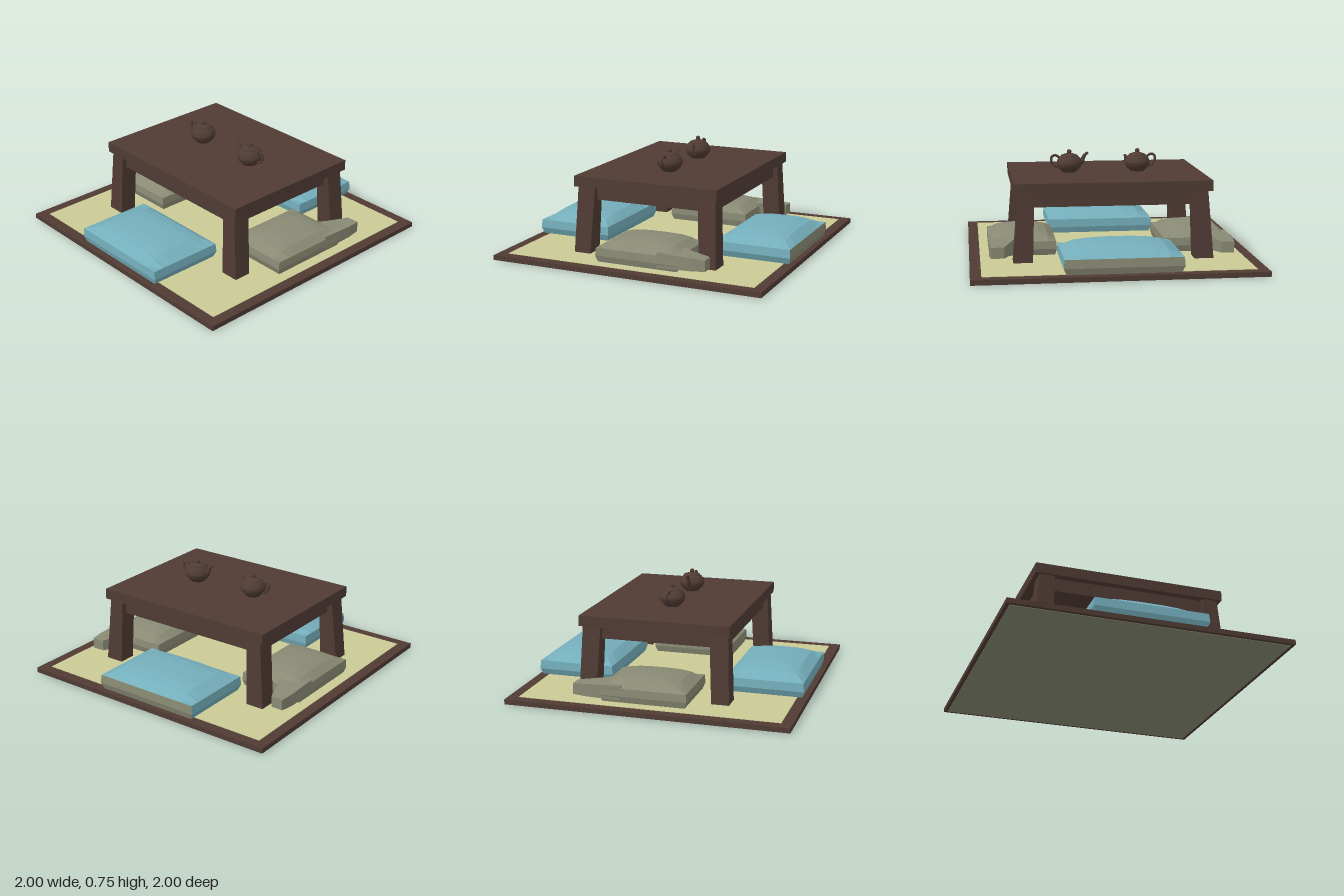
import * as THREE from 'three';

const mat = (name, color, extra = {}) => {
  const m = new THREE.MeshStandardMaterial({ color, ...extra });
  m.name = name;
  return m;
};

export function createModel() {
  const brown = mat('dark wood', 0x503b34);
  const straw = mat('straw', 0xcac995);
  const blue = mat('blue cloth', 0x74aebb, { flatShading: true });
  const sage = mat('sage cloth', 0x898a74, { flatShading: true });

  const root = new THREE.Group();
  root.name = 'teaTableSet';
  const add = (parent, name, geo, material, x = 0, y = 0, z = 0) => {
    const m = new THREE.Mesh(geo, material);
    m.name = name;
    m.position.set(x, y, z);
    parent.add(m);
    return m;
  };
  const box = (w, h, d) => new THREE.BoxGeometry(w, h, d);

  // Floor mat: wooden rim, straw face, cloth backing
  add(root, 'matRim', box(2, 0.035, 2), brown, 0, 0.0205, 0);
  add(root, 'matFace', box(1.85, 0.005, 1.85), straw, 0, 0.0385, 0);
  add(root, 'matBacking', box(1.95, 0.004, 1.95), sage, 0, 0.002, 0);

  // Table: slab, apron boards and four splayed legs
  const table = new THREE.Group();
  table.name = 'table';
  table.position.z = -0.0225;
  root.add(table);
  add(table, 'tableTop', box(1.385, 0.075, 1.075), brown, 0, 0.5525, 0);
  for (const s of [-1, 1]) {
    add(table, 'longApron', box(1.2, 0.1, 0.04), brown, 0, 0.468, s * 0.465);
    add(table, 'shortApron', box(0.04, 0.1, 0.9), brown, s * 0.6, 0.468, 0);
    for (const t of [-1, 1]) {
      const geo = box(1, 1, 1);
      const p = geo.attributes.position;
      for (let i = 0; i < p.count; i++) {
        const top = p.getY(i) > 0;
        const outX = p.getX(i) * s > 0, outZ = p.getZ(i) * t > 0;
        const x = top ? (outX ? 0.66 : 0.55) : (outX ? 0.70 : 0.565);
        const z = top ? (outZ ? 0.52 : 0.39) : (outZ ? 0.54 : 0.415);
        p.setXYZ(i, s * x, top ? 0.518 : 0.038, t * z);
      }
      geo.computeVertexNormals();
      add(table, 'leg', geo, brown);
    }
  }

  // Cushion: a box with a tucked-in base and a puffed top
  const cushion = (name, w, d, edge, peak, material, x, z) => {
    const geo = new THREE.BoxGeometry(w, 2, d, 8, 2, 8);
    const p = geo.attributes.position;
    for (let i = 0; i < p.count; i++) {
      const u = Math.abs(p.getX(i) / (w / 2)), v = Math.abs(p.getZ(i) / (d / 2));
      const level = Math.round(p.getY(i));
      const k = level < 0 ? 0.95 : level > 0 ? 0.985 : 1;
      const puff = (1 - u ** 3) * (1 - v ** 3);
      const y = level < 0 ? 0.045 : level === 0 ? 0.09 : edge + (peak - edge) * Math.pow(Math.max(puff, 0), 0.7);
      p.setXYZ(i, p.getX(i) * k, y, p.getZ(i) * k);
    }
    geo.computeVertexNormals();
    return add(root, name, geo, material, x, 0, z);
  };
  cushion('frontCushion', 0.81, 0.56, 0.15, 0.222, blue, -0.015, 0.695);
  cushion('backCushion', 0.81, 0.56, 0.15, 0.222, [blue, blue, blue, blue, blue, sage], -0.015, -0.7);
  for (const s of [-1, 1]) {
    cushion('sideCushion', 0.48, 0.62, 0.145, 0.212, sage, s * 0.623, -0.045);
    // Pulled-out rear corner
    const outline = [[0.86, -0.2], [0.862, -0.45], [0.85, -0.55], [0.76, -0.545], [0.7, -0.38], [0.66, -0.3], [0.66, -0.2]];
    const shape = new THREE.Shape(outline.map(([x, z]) => new THREE.Vector2(s * x, z)));
    const geo = new THREE.ExtrudeGeometry(shape, { depth: 0.105, bevelEnabled: false });
    geo.rotateX(Math.PI / 2);
    const p = geo.attributes.position;
    for (let i = 0; i < p.count; i++) {
      const back = Math.max(0, -p.getZ(i) - 0.3);
      if (p.getY(i) > -0.05) p.setY(i, -back * 0.06);
      else p.setY(i, p.getY(i) + back * 0.05);
    }
    geo.computeVertexNormals();
    add(root, 'cushionCorner', geo, sage, 0, 0.166, 0);
  }

  // Teapots; the spout points along +x before turning
  const v3 = (x, y) => new THREE.Vector3(x, y, 0);
  const teapot = (name, x, turn, spoutPath) => {
    const pot = new THREE.Group();
    pot.name = name;
    pot.position.set(x, 0.588, -0.022);
    pot.rotation.y = turn;
    root.add(pot);
    const profile = [[0, 0], [0.05, 0], [0.054, 0.008], [0.078, 0.03], [0.091, 0.058], [0.091, 0.075],
      [0.08, 0.1], [0.06, 0.12], [0.035, 0.133], [0.012, 0.139]];
    const body = new THREE.SplineCurve(profile.slice(2).map(([r, y]) => new THREE.Vector2(r, y))).getPoints(20);
    add(pot, 'body', new THREE.LatheGeometry([new THREE.Vector2(0, 0), new THREE.Vector2(0.05, 0), ...body], 28), brown);
    add(pot, 'lidRim', new THREE.TorusGeometry(0.057, 0.004, 6, 28).rotateX(Math.PI / 2), brown, 0, 0.121, 0);
    add(pot, 'lidKnob', new THREE.SphereGeometry(0.017, 14, 10), brown, 0, 0.149, 0);
    const handle = new THREE.CatmullRomCurve3([v3(-0.07, 0.105), v3(-0.1, 0.124), v3(-0.128, 0.112),
      v3(-0.13, 0.08), v3(-0.11, 0.05), v3(-0.08, 0.035)]);
    add(pot, 'handle', new THREE.TubeGeometry(handle, 20, 0.009, 8), brown);

    // Tapered spout
    const curve = new THREE.CatmullRomCurve3(spoutPath);
    const n = 12, sides = 10;
    const geo = new THREE.TubeGeometry(curve, n, 1, sides);
    const p = geo.attributes.position, c = new THREE.Vector3(), q = new THREE.Vector3();
    for (let i = 0; i < p.count; i++) {
      const t = Math.floor(i / (sides + 1)) / n;
      curve.getPointAt(t, c);
      q.fromBufferAttribute(p, i).sub(c).multiplyScalar(0.03 - 0.02 * Math.sqrt(t)).add(c);
      p.setXYZ(i, q.x, q.y, q.z);
    }
    geo.computeVertexNormals();
    add(pot, 'spout', geo, brown);
    const tip = spoutPath[spoutPath.length - 1];
    add(pot, 'spoutTip', new THREE.SphereGeometry(0.01, 10, 8), brown, tip.x, tip.y, 0);
  };
  teapot('leftTeapot', 0.262, Math.PI, [v3(0.06, 0.05), v3(0.092, 0.08), v3(0.108, 0.115), v3(0.13, 0.136)]);
  teapot('rightTeapot', -0.238, 0, [v3(0.06, 0.05), v3(0.08, 0.075), v3(0.086, 0.1), v3(0.09, 0.115)]);

  return root;
}
